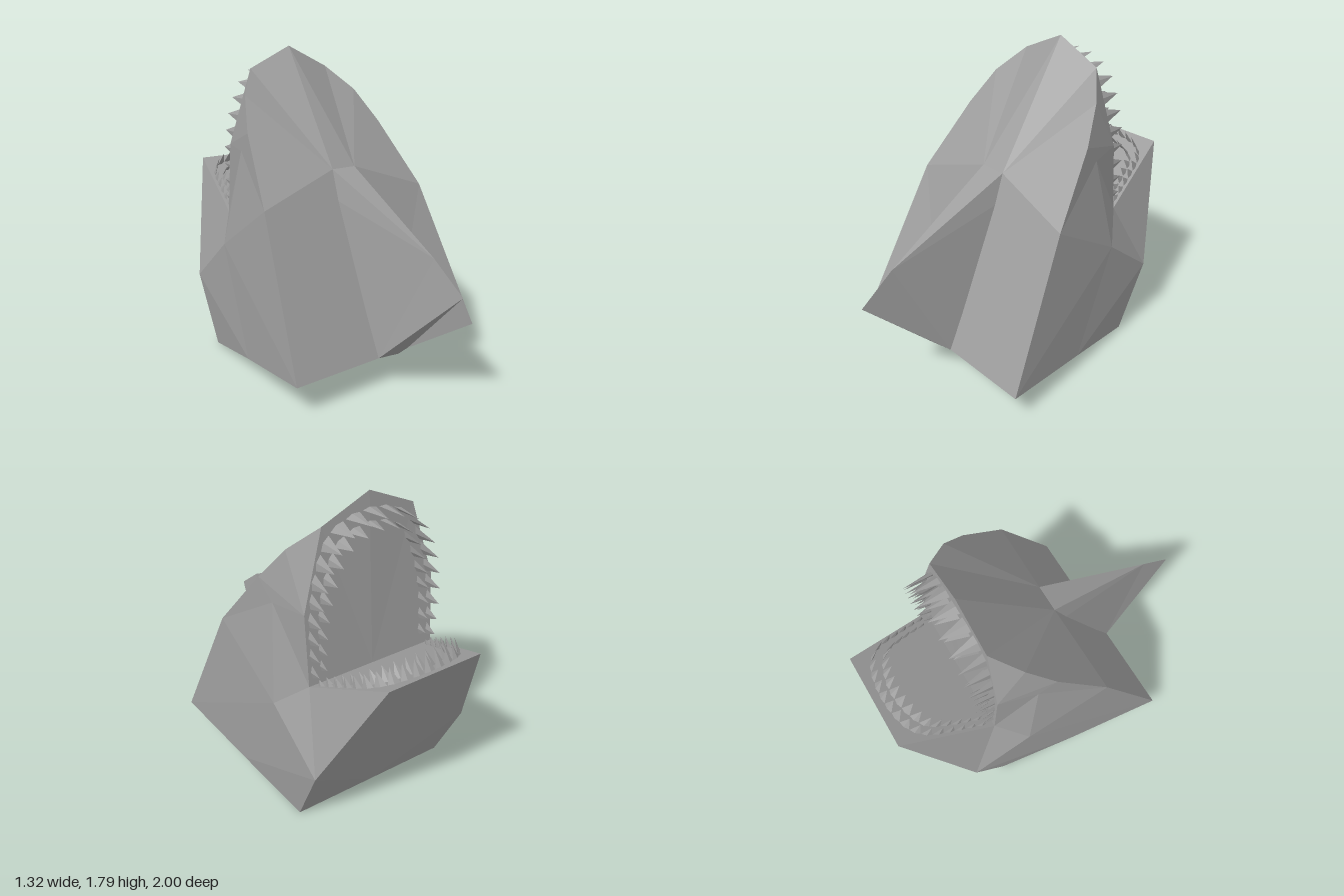
import * as THREE from 'three';

const V = (x, y, z) => new THREE.Vector3(x, y, z);
const material = new THREE.MeshStandardMaterial({ color: 0x9d9d9d, flatShading: true, side: THREE.DoubleSide });

// Corner points of the left (+x) half; points with x = 0 lie on the mirror plane
const P = {
  // back outline, from base to nose
  base: [0.66, 0.155, 0.52], e1: [0.57, 0.97, 0.13], e2: [0.48, 1.34, -0.15],
  e3: [0.40, 1.53, -0.29], e4: [0.275, 1.67, -0.42],
  // centre line
  nose: [0, 1.795, -0.42], finRoot: [0, 1.13, 0.09], baseMid: [0, 0.155, 0.52],
  // mouth
  rim: [0.40, 1.24, -0.46], corner: [0.40, 0.83, -0.5], hinge: [0, 0.83, -0.5],
  // cheeks and lower jaw
  jaw: [0.28, 1.075, -1], cheek: [0.5, 0.40, -0.71], throat: [0.49, 0, -0.53],
  side: [0.53, 0.68, -0.35], temple: [0.46, 1.23, -0.25], belly: [0.577, 0.085, -0.05],
  jawMid: [0, 1.075, -1], cheekMid: [0, 0.40, -0.705], throatMid: [0, 0, -0.53], bellyMid: [0, 0.085, -0.05],
  // fin
  finTop: [0.08, 1.13, 0.09], finSide: [0.1, 0.97, 0.14], finBase: [0.11, 0.155, 0.52],
  finCrest: [0, 0.765, 0.8], finTip: [0, 0.61, 1], finHeel: [0, 0.165, 0.56],
};

// Builds a mesh from faces of the left half, mirrored to the right
function mirroredMesh(name, faces) {
  const pos = [];
  for (const face of faces) {
    const pts = face.split(' ').map((key) => P[key]);
    for (let i = 1; i < pts.length - 1; i++) {
      pos.push(...pts[0], ...pts[i], ...pts[i + 1]);
      for (const [x, y, z] of [pts[0], pts[i + 1], pts[i]]) pos.push(-x, y, z);
    }
  }
  const geometry = new THREE.BufferGeometry();
  geometry.setAttribute('position', new THREE.Float32BufferAttribute(pos, 3));
  geometry.computeVertexNormals();
  const mesh = new THREE.Mesh(geometry, material);
  mesh.name = name;
  return mesh;
}

// Sets a row of flat pointed teeth along a mirrored arch; heights run from the ends to the middle
function toothRow(name, half, count, dir, width, endHeight, midHeight) {
  const row = new THREE.Group();
  row.name = name;
  const arch = [...half, ...half.slice(0, -1).reverse().map((p) => V(-p.x, p.y, p.z))];
  const curve = new THREE.CatmullRomCurve3(arch);
  const tooth = new THREE.ConeGeometry(0.5, 1, 4, 1, true).translate(0, 0.5, 0);
  const up = dir.clone().normalize();
  for (let i = 0; i < count; i++) {
    const t = (i + 0.5) / count;
    const along = curve.getTangentAt(t);
    const across = along.clone().cross(up).normalize();
    along.crossVectors(up, across);
    const height = THREE.MathUtils.lerp(endHeight, midHeight, Math.sin(Math.PI * t));
    const mesh = new THREE.Mesh(tooth, material);
    mesh.name = 'tooth';
    mesh.quaternion.setFromRotationMatrix(new THREE.Matrix4().makeBasis(along, up, across));
    mesh.position.copy(curve.getPointAt(t)).addScaledVector(up, -0.01);
    mesh.scale.set(width, height + 0.01, width * 0.25);
    row.add(mesh);
  }
  return row;
}

export function createModel() {
  const model = new THREE.Group();
  model.name = 'openMouthedHead';

  model.add(
    mirroredMesh('back', [
      'baseMid base e1 finTop finRoot', 'finTop e1 e2 e3 e4 nose', 'finRoot finTop nose',
    ]),
    mirroredMesh('sides', [
      'base belly side e1', 'belly throat cheek side', 'cheek jaw corner side',
      'temple e1 side corner rim e2', 'temple e2 e1', 'e2 rim e3', 'e3 rim e4',
    ]),
    mirroredMesh('chin', ['jaw cheek cheekMid jawMid', 'cheek throat throatMid cheekMid']),
    mirroredMesh('underside', ['baseMid bellyMid belly base', 'bellyMid throatMid throat belly']),
    mirroredMesh('palate', ['hinge nose e4 rim corner']),
    mirroredMesh('mouthFloor', ['corner jaw jawMid hinge']),
    mirroredMesh('fin', [
      'finCrest finTip finBase finSide finTop', 'finTop finRoot finCrest',
      'finTip finHeel finBase', 'finHeel baseMid finBase',
    ]),
  );

  // Points on the two mouth planes
  const onPalate = ([x, y]) => V(x, y, -0.42 - 0.083 * (1.795 - y));
  const onFloor = ([x, z]) => V(x, 0.83 - 0.49 * (z + 0.5), z);

  // Two rows of teeth in each jaw
  const upperOuter = [[0.375, 0.86], [0.37, 1.2], [0.32, 1.45], [0.22, 1.63], [0, 1.7]].map(onPalate);
  const upperInner = [[0.32, 0.88], [0.315, 1.18], [0.27, 1.4], [0.18, 1.57], [0, 1.63]].map(onPalate);
  const lowerOuter = [[0.37, -0.53], [0.33, -0.7], [0.28, -0.85], [0.2, -0.92], [0, -0.955]].map(onFloor);
  const lowerInner = [[0.33, -0.54], [0.29, -0.7], [0.24, -0.82], [0.16, -0.87], [0, -0.9]].map(onFloor);
  const upperDir = V(0, 0.02, -1);
  model.add(
    toothRow('upperOuterTeeth', upperOuter, 21, upperDir, 0.085, 0.06, 0.15),
    toothRow('upperInnerTeeth', upperInner, 19, upperDir, 0.075, 0.05, 0.12),
    toothRow('lowerOuterTeeth', lowerOuter, 21, V(0, 0.85, 0.53), 0.07, 0.03, 0.09),
    toothRow('lowerInnerTeeth', lowerInner, 19, V(0, 0.75, 0.66), 0.065, 0.03, 0.09),
  );
  return model;
}
